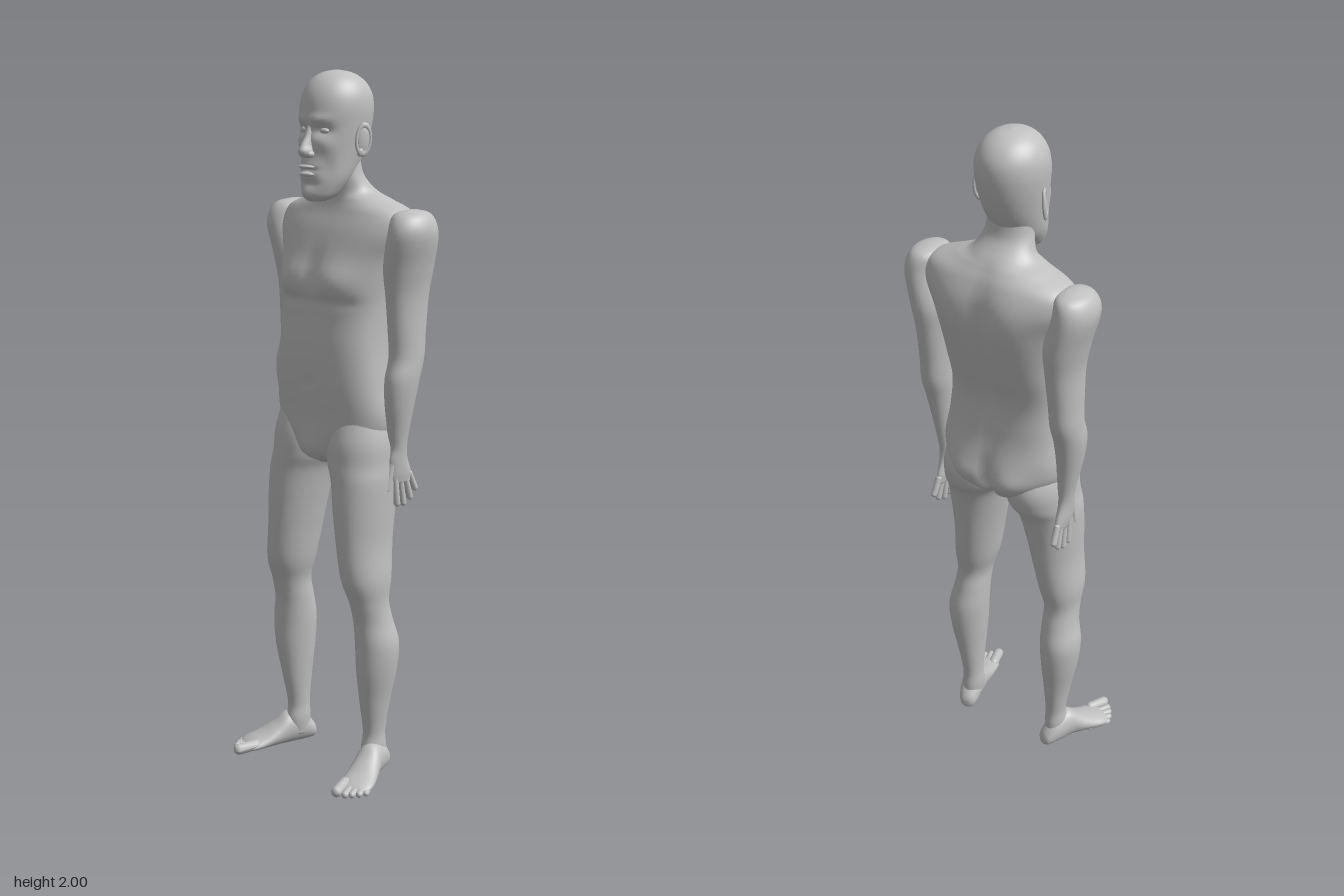
import * as THREE from 'three';
import { mergeGeometries } from 'three/addons/utils/BufferGeometryUtils.js';

// Smooth interpolation between four numbers
const spline = (a, b, c, d, t) =>
  0.5 * (2 * b + (c - a) * t + (2 * a - 5 * b + 4 * c - d) * t * t + (3 * b - a - 3 * c + d) * t * t * t);

// Closed skin over rows of [y, centre x, half width, front z, back z, squareness]
// bumps: [x, y, z, rx, ry, rz, push along z], mirrored where x is not 0
function loft(rows, segs = 32, steps = 5, bumps = []) {
  const pos = [], idx = [], rings = [];
  const at = (i) => rows[Math.max(0, Math.min(rows.length - 1, i))];
  for (let i = 0; i < rows.length - 1; i++)
    for (let s = 0; s < steps; s++)
      rings.push(rows[i].map((_, k) => spline(at(i - 1)[k], at(i)[k], at(i + 1)[k], at(i + 2)[k], s / steps)));
  rings.push(rows[rows.length - 1]);
  const power = (v, p) => Math.sign(v) * Math.abs(v) ** p;
  for (const [y, cx, hw, zf, zb, p = 1] of rings)
    for (let j = 0; j < segs; j++) {
      const a = (j / segs) * Math.PI * 2;
      const x = cx + hw * power(Math.cos(a), p);
      const z0 = (zf + zb) / 2 + ((zf - zb) / 2) * power(Math.sin(a), p);
      let z = z0;
      for (const [bx, by, bz, rx, ry, rz, push] of bumps)
        for (const side of bx ? [1, -1] : [1])
          z += push * Math.exp(-(((x - side * bx) / rx) ** 2) - ((y - by) / ry) ** 2 - ((z0 - bz) / rz) ** 2);
      pos.push(x, y, z);
    }
  for (let i = 0; i < rings.length - 1; i++)
    for (let j = 0; j < segs; j++) {
      const a = i * segs + j, b = i * segs + ((j + 1) % segs);
      idx.push(a, a + segs, b, b, a + segs, b + segs);
    }
  // End caps
  for (const i of [0, rings.length - 1]) {
    const [y, cx, , zf, zb] = rings[i], c = pos.length / 3;
    pos.push(cx, y, (zf + zb) / 2);
    for (let j = 0; j < segs; j++) {
      const a = i * segs + j, b = i * segs + ((j + 1) % segs);
      if (i) idx.push(c, b, a); else idx.push(c, a, b);
    }
  }
  const g = new THREE.BufferGeometry();
  g.setAttribute('position', new THREE.Float32BufferAttribute(pos, 3));
  g.setIndex(idx);
  g.computeVertexNormals();
  return g;
}

const ball = (x, y, z, rx, ry, rz) =>
  new THREE.SphereGeometry(1, 20, 14).scale(rx, ry, rz).translate(x, y, z);

// Round-ended finger or toe from a to b
function digit(a, b, r) {
  const p = new THREE.Vector3(...a), q = new THREE.Vector3(...b), d = q.clone().sub(p);
  const turn = new THREE.Quaternion().setFromUnitVectors(new THREE.Vector3(0, 1, 0), d.clone().normalize());
  const mid = p.add(q).multiplyScalar(0.5);
  return new THREE.CapsuleGeometry(r, d.length() - 2 * r, 6, 12).applyQuaternion(turn).translate(mid.x, mid.y, mid.z);
}

function mirrored(geo) {
  const g = geo.clone().scale(-1, 1, 1), ix = g.index.array;
  for (let i = 0; i < ix.length; i += 3) [ix[i], ix[i + 1]] = [ix[i + 1], ix[i]];
  g.computeVertexNormals();
  return g;
}

export function createModel() {
  const model = new THREE.Group();
  model.name = 'standingMan';
  const skin = new THREE.MeshStandardMaterial({ color: 0xc0c0c0 });
  skin.name = 'plain grey skin';
  const add = (name, geo) => {
    const m = new THREE.Mesh(geo, skin);
    m.name = name;
    model.add(m);
  };
  const pair = (name, geo) => {
    add('left' + name, geo);
    add('right' + name, mirrored(geo));
  };

  // Torso and neck, with chest, shoulder blades, spine and buttocks
  add('torso', loft([
    [0.915, 0, 0.04, 0.04, -0.07, 1], [0.94, 0, 0.12, 0.075, -0.13, 1],
    [1.0, 0, 0.18, 0.088, -0.16, 0.9], [1.06, 0, 0.197, 0.09, -0.16, 0.85],
    [1.15, 0, 0.185, 0.097, -0.142, 0.8], [1.25, 0, 0.176, 0.096, -0.138, 0.8],
    [1.35, 0, 0.176, 0.085, -0.165, 0.8], [1.42, 0, 0.182, 0.085, -0.182, 0.8],
    [1.5, 0, 0.198, 0.068, -0.19, 0.8], [1.57, 0, 0.225, 0.042, -0.186, 0.8],
    [1.62, 0, 0.215, 0.018, -0.17, 0.85], [1.652, 0, 0.145, 0.008, -0.15, 0.95],
    [1.675, 0, 0.092, 0.01, -0.132, 1], [1.72, 0, 0.07, 0.02, -0.092, 1],
    [1.78, 0, 0.064, 0.025, -0.08, 1],
  ], 72, 7, [
    [0.085, 1.44, 0.09, 0.07, 0.05, 0.08, 0.02],
    [0.085, 1.38, 0.09, 0.07, 0.014, 0.06, -0.008],
    [0, 1.45, 0.08, 0.016, 0.07, 0.06, -0.01],
    [0.09, 1.53, -0.19, 0.07, 0.09, 0.06, -0.014],
    [0, 1.38, -0.18, 0.028, 0.22, 0.08, 0.018],
    [0.08, 1.0, -0.16, 0.06, 0.06, 0.07, -0.024],
    [0, 0.98, -0.16, 0.016, 0.07, 0.08, 0.035],
    [0, 0.96, 0.09, 0.04, 0.04, 0.06, 0.012],
    [0, 1.15, 0.1, 0.01, 0.014, 0.03, -0.008],
  ]));

  // Head: brow, eye sockets, cheeks, mouth and chin
  add('head', loft([
    [1.652, 0, 0.024, 0.08, 0.03], [1.664, 0, 0.044, 0.092, 0.0], [1.69, 0, 0.059, 0.094, -0.03],
    [1.72, 0, 0.07, 0.093, -0.06], [1.76, 0, 0.077, 0.092, -0.088], [1.8, 0, 0.083, 0.09, -0.108],
    [1.85, 0, 0.09, 0.09, -0.124], [1.9, 0, 0.094, 0.088, -0.13], [1.94, 0, 0.088, 0.077, -0.123],
    [1.972, 0, 0.069, 0.055, -0.1], [1.992, 0, 0.04, 0.024, -0.066], [2.0, 0, 0.006, -0.014, -0.026],
  ], 64, 8, [
    [0.036, 1.842, 0.08, 0.024, 0.016, 0.05, -0.016],
    [0.032, 1.872, 0.08, 0.032, 0.013, 0.05, 0.007],
    [0.052, 1.805, 0.07, 0.022, 0.022, 0.05, 0.007],
    [0.05, 1.745, 0.07, 0.016, 0.03, 0.05, -0.006],
    [0, 1.74, 0.09, 0.035, 0.025, 0.05, 0.009],
    [0, 1.737, 0.1, 0.024, 0.006, 0.05, -0.014],
    [0, 1.7, 0.09, 0.03, 0.01, 0.05, -0.006],
    [0, 1.673, 0.09, 0.025, 0.014, 0.05, 0.006],
  ]));
  add('nose', loft([
    [1.769, 0, 0.006, 0.1, 0.08], [1.774, 0, 0.016, 0.113, 0.07], [1.788, 0, 0.018, 0.123, 0.06],
    [1.805, 0, 0.013, 0.115, 0.06], [1.83, 0, 0.01, 0.099, 0.06], [1.862, 0, 0.008, 0.088, 0.06],
  ], 24));
  pair('Nostril', ball(0.015, 1.78, 0.095, 0.009, 0.009, 0.013));
  pair('Eye', ball(0.036, 1.842, 0.062, 0.016, 0.009, 0.012));
  add('upperLip', ball(0, 1.746, 0.096, 0.028, 0.006, 0.014));
  add('lowerLip', ball(0, 1.726, 0.094, 0.025, 0.007, 0.014));

  // Ears: bowl, rim and lobe, opening forwards
  const ear = mergeGeometries([
    ball(0, 0, 0, 0.005, 0.036, 0.018),
    new THREE.TorusGeometry(0.02, 0.0045, 8, 28).rotateY(Math.PI / 2).scale(1, 1.9, 1),
    ball(0, -0.034, 0.006, 0.006, 0.012, 0.01),
  ]).rotateY(-0.45).rotateX(-0.12).translate(0.1, 1.817, -0.022);
  pair('Ear', ear);

  // Arms, from shoulder cap to palm
  pair('Arm', loft([
    [1.634, 0.225, 0.012, -0.06, -0.1], [1.62, 0.23, 0.044, -0.015, -0.14], [1.57, 0.235, 0.056, 0.008, -0.158],
    [1.48, 0.215, 0.056, 0.002, -0.165], [1.4, 0.21, 0.047, -0.01, -0.155], [1.3, 0.212, 0.043, -0.018, -0.142],
    [1.23, 0.214, 0.042, -0.02, -0.135], [1.17, 0.215, 0.041, -0.003, -0.117], [1.1, 0.212, 0.035, -0.005, -0.102],
    [1.02, 0.206, 0.026, -0.02, -0.09], [0.975, 0.204, 0.021, -0.028, -0.086], [0.94, 0.204, 0.018, -0.022, -0.092],
    [0.9, 0.204, 0.015, -0.026, -0.108], [0.872, 0.204, 0.01, -0.036, -0.11],
  ].reverse(), 36));
  const fingers = [[-0.044, 0.805, -0.052], [-0.064, 0.802, -0.078], [-0.083, 0.815, -0.106], [-0.1, 0.838, -0.128]]
    .map(([z, tipY, tipZ]) => digit([0.204, 0.9, z], [0.208, tipY, tipZ], 0.0095));
  pair('Fingers', mergeGeometries(fingers));
  pair('Thumb', digit([0.204, 0.94, -0.035], [0.2, 0.85, -0.012], 0.011));

  // Legs, from hip to heel
  pair('Leg', loft([
    [1.1, 0.1, 0.07, 0.05, -0.08], [1.0, 0.105, 0.094, 0.086, -0.145], [0.93, 0.109, 0.097, 0.092, -0.145],
    [0.88, 0.122, 0.088, 0.095, -0.118], [0.8, 0.13, 0.078, 0.1, -0.1], [0.7, 0.138, 0.067, 0.1, -0.085],
    [0.6, 0.15, 0.062, 0.094, -0.07], [0.53, 0.157, 0.051, 0.07, -0.056], [0.47, 0.16, 0.052, 0.055, -0.068],
    [0.4, 0.167, 0.058, 0.052, -0.085], [0.32, 0.166, 0.052, 0.049, -0.082], [0.22, 0.16, 0.038, 0.034, -0.067],
    [0.13, 0.156, 0.029, 0.018, -0.055], [0.08, 0.156, 0.031, 0.025, -0.058], [0.03, 0.156, 0.026, 0.02, -0.058],
  ].reverse(), 40, 6));

  // Feet, turned outwards; built heel to toe, then laid flat
  const sole = loft([
    [-0.074, 0.015, 0.01, -0.012, -0.035], [-0.064, 0.015, 0.024, -0.003, -0.055], [-0.03, 0.014, 0.033, 0, -0.09],
    [0.02, 0.012, 0.037, 0, -0.1], [0.06, 0.013, 0.043, 0, -0.072], [0.1, 0.015, 0.048, 0, -0.048],
    [0.135, 0.015, 0.049, 0, -0.034], [0.155, 0.012, 0.04, -0.002, -0.024], [0.164, 0.01, 0.025, -0.006, -0.016],
  ], 32).rotateX(Math.PI / 2);
  const toes = [[-0.018, 0.206, 0.016], [0.007, 0.198, 0.0105], [0.025, 0.189, 0.01], [0.042, 0.176, 0.0095], [0.056, 0.16, 0.009]]
    .map(([x, tip, r]) => digit([x * 0.85, r + 0.008, tip - 0.085], [x, r, tip], r));
  const place = (g) => g.rotateY(THREE.MathUtils.degToRad(20)).translate(0.155, 0, 0);
  pair('Foot', place(sole));
  pair('Toes', place(mergeGeometries(toes)));

  return model;
}
